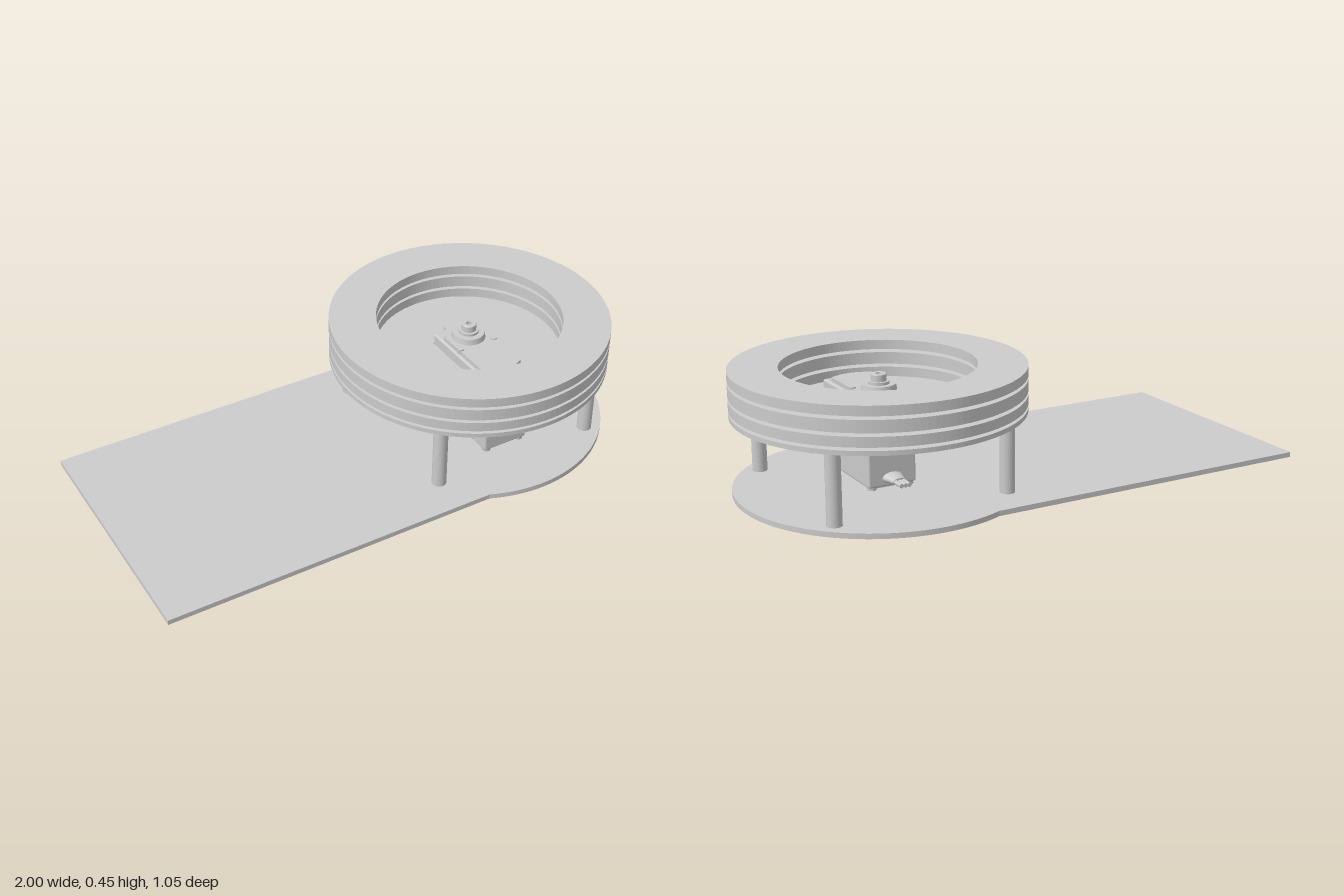
import * as THREE from 'three';
import { RoundedBoxGeometry } from 'three/addons/geometries/RoundedBoxGeometry.js';

const CX = 0.476;          // x of the turntable axis
const R = 0.523;           // outer radius of discs and rings
const BODY_Z = 0.09;       // middle of the servo body
const material = new THREE.MeshStandardMaterial({ color: 0xcccccc });

function add(parent, name, geometry, x = 0, y = 0, z = 0) {
  const mesh = new THREE.Mesh(geometry, material);
  mesh.name = name;
  mesh.position.set(x, y, z);
  parent.add(mesh);
  return mesh;
}

// Extrude a plan outline (shape x, shape y = -z) upward from y = 0
function slab(shape, height) {
  return new THREE.ExtrudeGeometry(shape, { depth: height, bevelEnabled: false, curveSegments: 64 })
    .rotateX(-Math.PI / 2);
}

// Upright cylinder standing on y = 0
function post(radius, height, segments = 32, topRadius = radius) {
  return new THREE.CylinderGeometry(topRadius, radius, height, segments).translate(0, height / 2, 0);
}

function disc(radius) {
  return new THREE.Shape().absarc(0, 0, radius, 0, Math.PI * 2, false);
}

function rectHole(x0, x1, z0, z1) {
  return new THREE.Path([[x0, -z0], [x1, -z0], [x1, -z1], [x0, -z1]].map(p => new THREE.Vector2(...p)));
}

function createServo() {
  const servo = new THREE.Group();
  servo.name = 'servo';

  // Case: body, recessed bottom cover and corner screws
  add(servo, 'servoBody', new RoundedBoxGeometry(0.185, 0.312, 0.37, 3, 0.008), 0, 0.186, BODY_Z);
  add(servo, 'bottomCover', new THREE.BoxGeometry(0.165, 0.012, 0.345), 0, 0.03, BODY_Z);
  for (const sx of [-1, 1]) for (const sz of [-1, 1]) {
    add(servo, 'caseScrew', post(0.017, 0.017, 20), sx * 0.072, 0.02, BODY_Z + sz * 0.164);
  }

  // Raised top cover, rounded around the shaft
  const cover = new THREE.Shape();
  cover.moveTo(-0.08, -0.225);
  cover.quadraticCurveTo(0, -0.275, 0.08, -0.225);
  cover.lineTo(0.08, 0.035);
  cover.absarc(0, 0, 0.09, 0.4, Math.PI - 0.4, false);
  cover.closePath();
  add(servo, 'topCover', slab(cover, 0.022), 0, 0.335, 0);
  for (const sx of [-1, 1]) add(servo, 'topScrew', post(0.013, 0.027, 20), sx * 0.074, 0.335, 0.06);

  // Output boss and stepped shaft with a bore
  add(servo, 'shaftBoss', post(0.064, 0.024, 48, 0.06), 0, 0.355, 0);
  add(servo, 'shaftCollar', post(0.038, 0.012, 40), 0, 0.377, 0);
  const spline = [[0, 0], [0.028, 0], [0.028, 0.036], [0.026, 0.038], [0.011, 0.038], [0.011, 0.015], [0, 0.015]];
  const shaft = new THREE.LatheGeometry(spline.map(p => new THREE.Vector2(...p)), 32).toNonIndexed();
  shaft.computeVertexNormals();
  add(servo, 'outputShaft', shaft, 0, 0.377, 0);

  // Mounting ears held in the deck, each with a stiffening rib on top
  for (const s of [-1, 1]) {
    const z = BODY_Z + s * 0.217;
    add(servo, 'mountingEar', new THREE.BoxGeometry(0.17, 0.017, 0.066), 0, 0.2895, z);
    add(servo, 'earRib', new THREE.BoxGeometry(0.012, 0.014, 0.07), 0, 0.301, z);
  }

  // Tapered strain relief and three-strand lead at the back
  const relief = new THREE.CylinderGeometry(0.013, 0.021, 0.058, 24).rotateX(-Math.PI / 2).scale(1.9, 1, 1);
  add(servo, 'strainRelief', relief, 0, 0.06, -0.122);
  for (const i of [-1, 0, 1]) {
    const wire = new THREE.CylinderGeometry(0.008, 0.008, 0.06, 16).rotateX(Math.PI / 2);
    add(servo, 'leadWire', wire, i * 0.015, 0.06, -0.167);
  }
  return servo;
}

export function createModel() {
  const model = new THREE.Group();
  model.name = 'turntable';

  // Base plate: rectangle ending in a larger disc
  const reach = Math.asin(0.48 / R);
  const base = new THREE.Shape();
  base.moveTo(-1, 0.48);
  base.lineTo(-1, -0.48);
  base.absarc(CX, 0, R, -Math.PI + reach, Math.PI - reach, false);
  base.closePath();
  add(model, 'basePlate', slab(base, 0.019));

  // Everything else is centred on the turntable axis
  const tower = new THREE.Group();
  tower.name = 'tower';
  tower.position.x = CX;
  model.add(tower);

  for (const sx of [-1, 1]) for (const sz of [-1, 1]) {
    add(tower, 'column', post(0.027, 0.264), sx * 0.328, 0.019, sz * 0.328);
  }

  // Deck with a cutout for the servo
  const deck = disc(R);
  deck.holes.push(rectHole(-0.0925, 0.0925, -0.095, 0.275));
  add(tower, 'deck', slab(deck, 0.017), 0, 0.282, 0);

  // Three stacked rings with small gaps: [bottom, top]
  for (const [y0, y1] of [[0.31, 0.346], [0.358, 0.402], [0.414, 0.449]]) {
    const ring = disc(R);
    ring.holes.push(new THREE.Path().absarc(0, 0, 0.347, 0, Math.PI * 2, true));
    add(tower, 'ring', slab(ring, y1 - y0), 0, y0, 0);
  }

  tower.add(createServo());
  return model;
}
